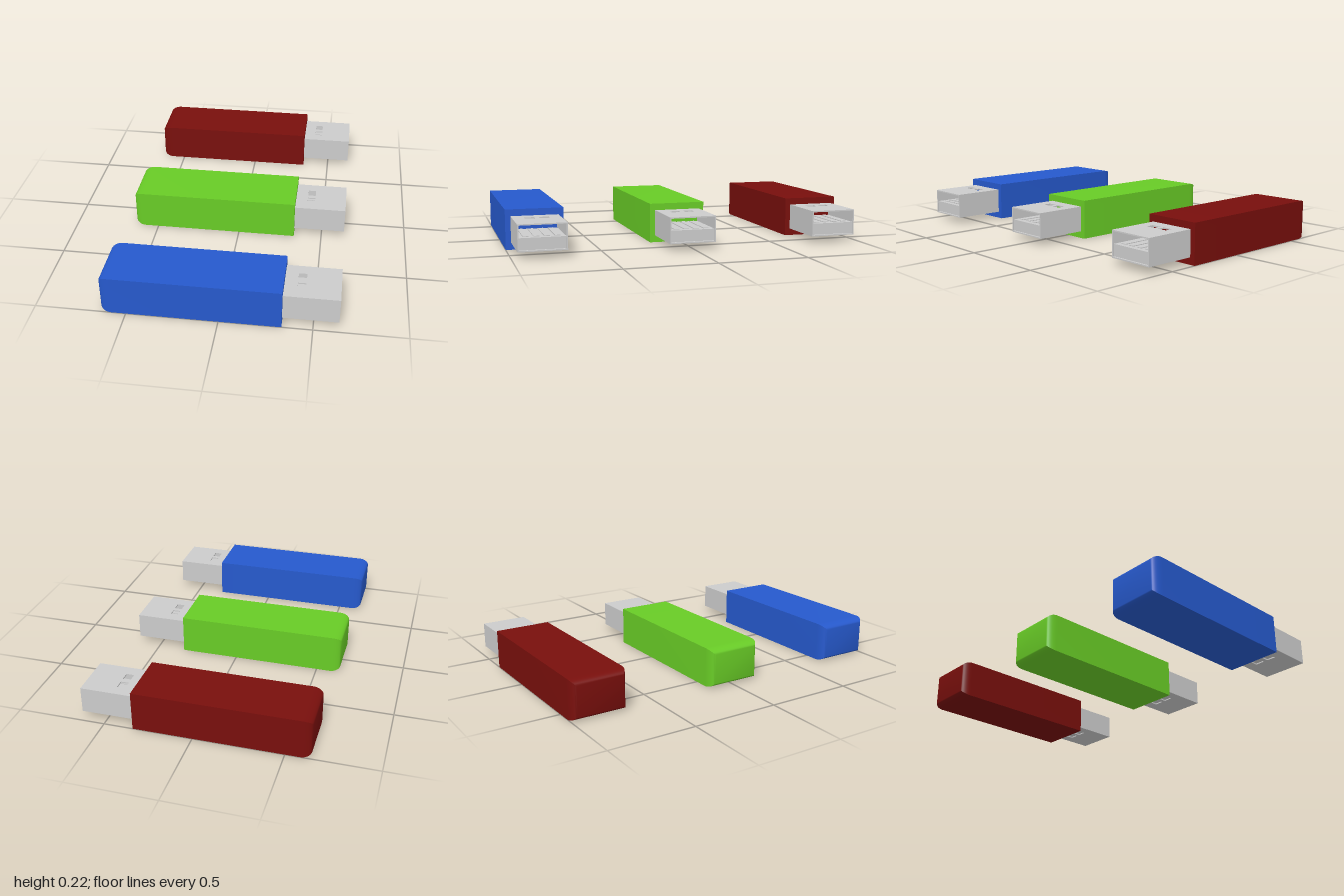
import * as THREE from 'three';
import { toCreasedNormals } from 'three/addons/utils/BufferGeometryUtils.js';

const X0 = -0.638, X1 = 0.335, X2 = 0.635; // closed end, collar, plug tip
const H = 0.225, W = 0.324, MID = H / 2 + 0.001;
const PH = 0.147, PW = 0.264, T = 0.007; // plug height, width, sheet thickness

// Rectangular case whose closed end rounds over in an elliptical curve
function caseGeometry() {
  const sections = [];
  const n = 8, rx = 0.06, inset = 0.03;
  for (let i = 0; i <= n; i++) {
    const a = (i / n) * Math.PI / 2;
    sections.push([X0 + rx * (1 - Math.cos(a)), inset * (1 - Math.sin(a))]);
  }
  sections.push([X1, 0]);
  const pos = [], idx = [];
  for (const [x, d] of sections) {
    const h = H / 2 - d, w = W / 2 - d;
    for (const [sy, sz] of [[-1, -1], [-1, 1], [1, 1], [1, -1]]) pos.push(x, H / 2 + sy * h, sz * w);
  }
  for (let s = 0; s < sections.length - 1; s++) {
    for (let k = 0; k < 4; k++) {
      const a = s * 4 + k, b = s * 4 + (k + 1) % 4;
      idx.push(a, a + 4, b, b, a + 4, b + 4);
    }
  }
  const e = (sections.length - 1) * 4;
  idx.push(0, 1, 2, 0, 2, 3, e, e + 2, e + 1, e, e + 3, e + 2);
  const g = new THREE.BufferGeometry();
  g.setAttribute('position', new THREE.Float32BufferAttribute(pos, 3));
  g.setIndex(idx);
  return toCreasedNormals(g, 0.6);
}

function rect(path, x0, x1, z0, z1) {
  path.moveTo(x0, z0);
  path.lineTo(x1, z0);
  path.lineTo(x1, z1);
  path.lineTo(x0, z1);
  path.closePath();
  return path;
}

// Plug plate with two latch windows, lying flat
function plateGeometry() {
  const shape = rect(new THREE.Shape(), X1, X2, -PW / 2, PW / 2);
  for (const z of [-0.067, 0.013]) shape.holes.push(rect(new THREE.Path(), 0.405, 0.45, z, z + 0.054));
  const g = new THREE.ExtrudeGeometry(shape, { depth: T, bevelEnabled: false });
  return g.rotateX(-Math.PI / 2);
}

function add(parent, name, geometry, material, x = 0, y = 0, z = 0) {
  const mesh = new THREE.Mesh(geometry, material);
  mesh.name = name;
  mesh.position.set(x, y, z);
  parent.add(mesh);
}

export function createModel() {
  const model = new THREE.Group();
  model.name = 'memorySticks';
  const grey = new THREE.MeshStandardMaterial({ color: 0xcccccc });
  const body = caseGeometry(), plate = plateGeometry();
  const len = X2 - X1, cx = (X1 + X2) / 2;
  const bottom = MID - PH / 2, top = MID + PH / 2;
  const wall = new THREE.BoxGeometry(len, PH - 2 * T, T);
  const tongueH = MID - bottom - T - 0.002;
  const tongue = new THREE.BoxGeometry(len - 0.006, tongueH, PW - 2 * T);
  const contact = new THREE.BoxGeometry(len - 0.05, 0.004, 0.03);

  const sticks = [['red', 0x780f0c, -0.838], ['green', 0x68cb26, 0.013], ['blue', 0x2659cc, 0.838]];
  for (const [name, color, z] of sticks) {
    const stick = new THREE.Group();
    stick.name = name + 'Stick';
    stick.position.z = z;
    add(stick, 'case', body, new THREE.MeshStandardMaterial({ color }));

    // Metal sleeve
    add(stick, 'plugTop', plate, grey, 0, top - T, 0);
    add(stick, 'plugBottom', plate, grey, 0, bottom, 0);
    for (const s of [-1, 1]) add(stick, 'plugSide', wall, grey, cx, MID, s * (PW - T) / 2);

    // Inner tongue with four contacts
    add(stick, 'tongue', tongue, grey, cx - 0.003, MID - tongueH / 2, 0);
    for (let i = 0; i < 4; i++) add(stick, 'contact', contact, grey, cx - 0.01, MID + 0.002, (i - 1.5) * 0.056);
    model.add(stick);
  }
  return model;
}
